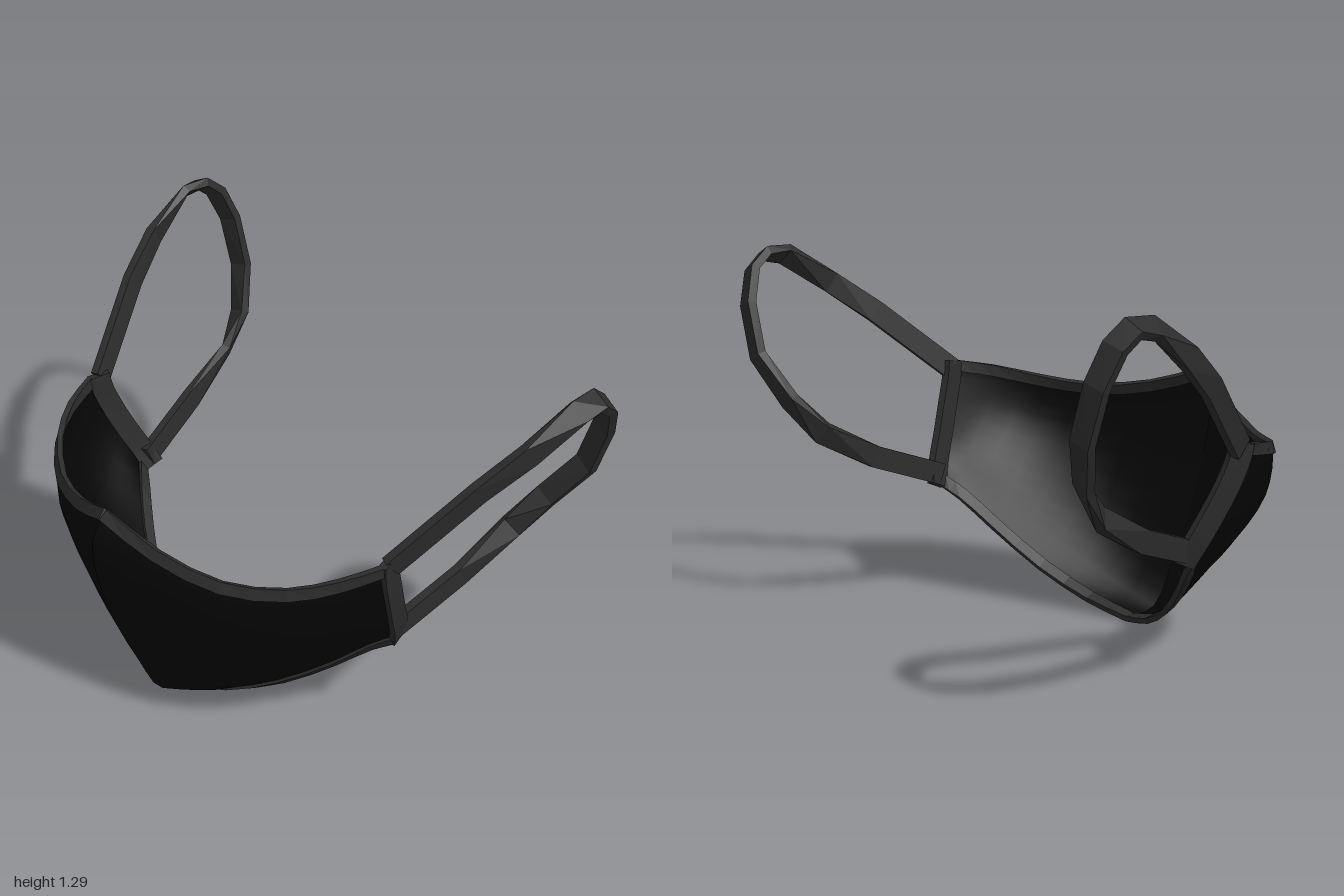
import * as THREE from 'three';

const V = (p) => new THREE.Vector3(...p);
const cloth = new THREE.MeshStandardMaterial({ color: 0x050505, side: THREE.DoubleSide });
const binding = new THREE.MeshStandardMaterial({ color: 0x2c2c2c });

// Half of the face panel: columns from the centre seam to the side, each top to bottom
const COLUMNS = [
  [[0, .85, .61], [0, .76, .67], [0, .5, .63], [0, .2, .51], [0, .03, .415], [0, .01, .285]],
  [[.2, .785, .565], [.2, .7, .595], [.19, .48, .56], [.18, .25, .465], [.17, .1, .36], [.16, .05, .24]],
  [[.42, .75, .485], [.42, .68, .51], [.41, .53, .485], [.38, .34, .38], [.355, .215, .26], [.33, .14, .165]],
  [[.6, .77, .37], [.6, .71, .385], [.595, .58, .36], [.565, .44, .26], [.525, .34, .15], [.49, .27, .08]],
  [[.7, .805, .25], [.7, .75, .25], [.695, .64, .22], [.675, .53, .13], [.63, .44, .06], [.59, .365, .02]],
  [[.755, .83, .13], [.75, .77, .12], [.735, .68, .09], [.71, .58, .05], [.685, .49, .01], [.655, .41, -.02]],
];

// Ear loops, from the upper side corner round the back to the lower corner
const LOOP_LEFT = [[.745, .81, .09], [.855, 1.03, -.16], [.92, 1.14, -.3], [.962, 1.25, -.46], [.962, 1.258, -.54],
  [.95, 1.21, -.6], [.91, 1.1, -.645], [.85, .93, -.65], [.75, .78, -.59], [.69, .665, -.5], [.67, .555, -.3], [.65, .455, -.03]];
const LOOP_RIGHT = [[.75, .785, .09], [.88, 1.03, -.16], [.935, 1.14, -.3], [.962, 1.25, -.46], [.962, 1.258, -.54],
  [.955, 1.21, -.6], [.93, 1.1, -.645], [.875, .93, -.65], [.81, .78, -.59], [.78, .665, -.5], [.735, .555, -.3], [.65, .455, -.03]];
// How far the strap is turned to lie flat against the head at each loop point
const LOOP_FLAT = [1, 1, .85, .35, 0, 0, 0, 0, .15, .55, 1, 1];

// Points of the half panel as rows[v][u]; drop lowers the top edge away from the seam
function panelRows(drop, nu = 10, nv = 15) {
  const curves = COLUMNS.map((c) => new THREE.CatmullRomCurve3(c.map(V)));
  return Array.from({ length: nv + 1 }, (_, j) => {
    const row = new THREE.CatmullRomCurve3(curves.map((c) => c.getPoint(j / nv))).getPoints(nu);
    row.forEach((p, i) => { p.y -= drop * Math.min(1, 2.5 * i / nu) * (1 - j / nv); });
    return row;
  });
}

function buildGeometry(points, index, side) {
  const g = new THREE.BufferGeometry();
  g.setAttribute('position', new THREE.Float32BufferAttribute(points.flatMap((p) => [p.x * side, p.y, p.z]), 3));
  // mirroring turns the faces over, so swap the corner order
  if (side < 0) for (let i = 0; i < index.length; i += 3) [index[i], index[i + 1]] = [index[i + 1], index[i]];
  g.setIndex(index);
  return g;
}

function panel(rows, side) {
  const n = rows[0].length, index = [];
  for (let j = 0; j < rows.length - 1; j++) {
    for (let i = 0; i < n - 1; i++) {
      const a = j * n + i, b = a + n;
      index.push(a, b, b + 1, a, b + 1, a + 1);
    }
  }
  const g = buildGeometry(rows.flat(), index, side);
  g.computeVertexNormals();
  return new THREE.Mesh(g, cloth);
}

// Flat band with a rectangular section along a path; across(i) gives its width direction
function band(path, across, halfWidth, halfThick, side) {
  const points = [], index = [], last = path.length - 1;
  path.forEach((p, i) => {
    const t = path[Math.min(i + 1, last)].clone().sub(path[Math.max(i - 1, 0)]).normalize();
    const w = across(i).clone();
    w.addScaledVector(t, -w.dot(t)).normalize();
    const b = t.clone().cross(w);
    for (const [x, y] of [[1, 1], [-1, 1], [-1, -1], [1, -1]]) {
      points.push(p.clone().addScaledVector(w, x * halfWidth).addScaledVector(b, y * halfThick));
    }
    if (i === last) return;
    for (let k = 0; k < 4; k++) {
      const a = i * 4 + k, c = i * 4 + (k + 1) % 4;
      index.push(a, c, c + 4, a, c + 4, a + 4);
    }
  });
  const e = last * 4;
  index.push(0, 3, 2, 0, 2, 1, e, e + 1, e + 2, e, e + 2, e + 3);
  const g = buildGeometry(points, index, side).toNonIndexed();
  g.computeVertexNormals();
  return new THREE.Mesh(g, binding);
}

export function createModel() {
  const model = new THREE.Group();
  const add = (mesh, name) => { mesh.name = name; model.add(mesh); };

  // Binding along an edge row, set inwards so that its rim follows the edge
  const edgeBand = (edge, inner, side) => {
    const dirs = edge.map((p, i) => inner[i].clone().sub(p).normalize());
    const path = edge.map((p, i) => p.clone().addScaledVector(dirs[i], .017));
    return band(path, (i) => dirs[i], .02, .01, side);
  };

  for (const [side, label, loop, drop] of [[1, 'left', LOOP_LEFT, 0], [-1, 'right', LOOP_RIGHT, .035]]) {
    const rows = panelRows(drop), end = rows.length - 1;
    add(panel(rows, side), `${label}Panel`);
    add(edgeBand(rows[0], rows[1], side), `${label}TopBinding`);
    add(edgeBand(rows[end], rows[end - 1], side), `${label}BottomBinding`);

    // Wider binding at the side, reaching back from the panel
    const back = V([-.25, .2, -.9]).normalize();
    const sidePath = rows.map((r) => r[r.length - 1].clone().addScaledVector(back, .032));
    add(band(sidePath, () => back, .038, .014, side), `${label}SideBinding`);

    // Ear loop, flat beside the head and turned edge-on behind the ear
    const edgeOn = V([.88, -.42, .12]), flat = V([0, -.85, -.5]);
    const across = (i) => edgeOn.clone().lerp(flat, LOOP_FLAT[i]);
    add(band(loop.map(V), across, .038, .015, side), `${label}EarLoop`);
  }
  return model;
}
